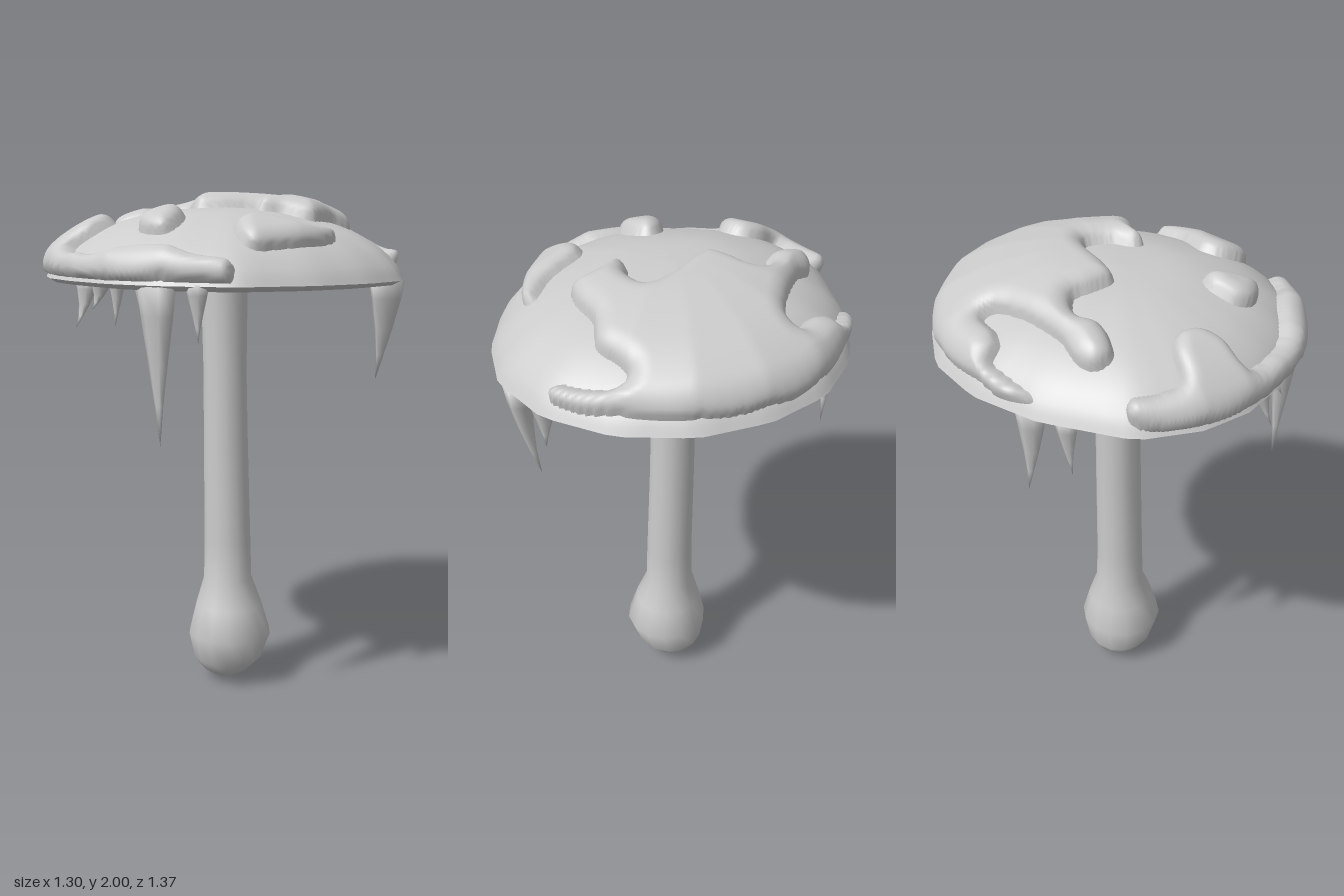
import * as THREE from 'three';
import { mergeVertices } from 'three/addons/utils/BufferGeometryUtils.js';

// Uneven rim of the cap, as (x, z) corners in order of angle
const RIM = [
  [0.65, -0.15], [0.65, 0.1], [0.57, 0.39], [0.38, 0.57], [0.17, 0.655], [-0.05, 0.67],
  [-0.25, 0.645], [-0.42, 0.565], [-0.58, 0.4], [-0.652, 0.07], [-0.635, -0.2], [-0.535, -0.43],
  [-0.35, -0.59], [-0.11, -0.685], [0.16, -0.685], [0.41, -0.58], [0.585, -0.38],
];
const TAU = Math.PI * 2;
const START = Math.atan2(RIM[0][1], RIM[0][0]);
const turn = (x, z) => (Math.atan2(z, x) - START + TAU * 2) % TAU;
const RIM_TURNS = RIM.map(([x, z], i) => (i ? turn(x, z) : 0));

// Distance from the axis to the straight rim edge lying in direction (x, z)
function rimRadius(x, z) {
  const angle = turn(x, z);
  let i = RIM.length - 1;
  while (i > 0 && RIM_TURNS[i] > angle) i--;
  const [ax, az] = RIM[i], [bx, bz] = RIM[(i + 1) % RIM.length];
  const c = Math.cos(angle + START), s = Math.sin(angle + START);
  return (ax * bz - az * bx) / (c * (bz - az) - s * (bx - ax));
}

// Linear lookup in a table of [key, value]; runs on past the last pair
function lookup(table, k) {
  let i = 1;
  while (i < table.length - 1 && table[i][0] < k) i++;
  const [k0, v0] = table[i - 1], [k1, v1] = table[i];
  return v0 + ((v1 - v0) * (k - k0)) / (k1 - k0);
}

// Dome profile: share of the rim radius against height
const curve = new THREE.SplineCurve([
  [0, 1.937], [0.3, 1.925], [0.5, 1.897], [0.7, 1.85], [0.85, 1.79], [0.95, 1.725], [1, 1.67],
].map(([s, y]) => new THREE.Vector2(s, y)));
const DOME = curve.getPoints(30).map((p) => [p.x, p.y]);
const TILT = -0.01;
const domeHeight = (x, z) => lookup(DOME, Math.hypot(x, z) / rimRadius(x, z)) + TILT * x;

function smooth(g) {
  g.deleteAttribute('uv');
  g.deleteAttribute('normal');
  g = mergeVertices(g, 1e-4);
  g.computeVertexNormals();
  return g;
}

// Turned shape, then reshaped vertex by vertex
function turned(profile, sides, reshape) {
  const g = new THREE.LatheGeometry(profile.map(([r, y]) => new THREE.Vector2(r, y)), sides);
  const p = g.attributes.position, v = new THREE.Vector3();
  for (let i = 0; i < p.count; i++) {
    reshape(v.fromBufferAttribute(p, i));
    p.setXYZ(i, v.x, v.y, v.z);
  }
  return smooth(g);
}

function toRim(v) {
  const r = rimRadius(v.x, v.z);
  v.x *= r;
  v.z *= r;
  v.y += TILT * v.x;
}

// Signed distance to a closed outline, positive inside
function insideDistance(poly, x, z) {
  let best = Infinity, inside = false;
  for (let i = 0, j = poly.length - 1; i < poly.length; j = i++) {
    const a = poly[j], b = poly[i], dx = b.x - a.x, dz = b.y - a.y;
    const t = THREE.MathUtils.clamp(((x - a.x) * dx + (z - a.y) * dz) / (dx * dx + dz * dz || 1), 0, 1);
    best = Math.min(best, Math.hypot(x - a.x - t * dx, z - a.y - t * dz));
    if (a.y > z !== b.y > z && x < a.x + (dx * (z - a.y)) / dz) inside = !inside;
  }
  return inside ? best : -best;
}

// Puffy layer lying on the dome; its edge dips just under the dome surface
function snowPatch(outline, thick, round) {
  const loop = new THREE.CatmullRomCurve3(
    outline.map(([x, z]) => new THREE.Vector3(x, 0, z)), true, 'centripetal');
  const poly = loop.getPoints(outline.length * 4).slice(0, -1).map((p) => new THREE.Vector2(p.x, p.z));
  const box = new THREE.Box2().setFromPoints(poly).expandByScalar(0.04);
  const step = 0.01, e = 0.02;
  const nx = Math.ceil((box.max.x - box.min.x) / step), nz = Math.ceil((box.max.y - box.min.y) / step);
  const pos = [], dist = [], index = [], n = new THREE.Vector3();
  for (let j = 0; j <= nz; j++) {
    for (let i = 0; i <= nx; i++) {
      let x = box.min.x + i * step, z = box.min.y + j * step;
      const d = insideDistance(poly, x, z);
      const k = Math.min(1, (0.99 * rimRadius(x, z)) / Math.max(Math.hypot(x, z), 1e-6));
      x *= k;
      z *= k;
      n.set(domeHeight(x - e, z) - domeHeight(x + e, z), 2 * e, domeHeight(x, z - e) - domeHeight(x, z + e)).normalize();
      const u = 1 - Math.min(d / round, 1);
      const f = d > 0 ? thick * Math.sqrt(1 - u * u) : Math.max(d * 1.5, -0.03);
      pos.push(x + n.x * f, domeHeight(x, z) + n.y * f, z + n.z * f);
      dist.push(d);
    }
  }
  for (let j = 0; j < nz; j++) {
    for (let i = 0; i < nx; i++) {
      const a = j * (nx + 1) + i, b = a + nx + 1;
      if (Math.max(dist[a], dist[b], dist[a + 1], dist[b + 1]) < -0.012) continue;
      index.push(a, b, a + 1, a + 1, b, b + 1);
    }
  }
  const g = new THREE.BufferGeometry();
  g.setAttribute('position', new THREE.Float32BufferAttribute(pos, 3));
  g.setIndex(index);
  g.computeVertexNormals();
  return g;
}

export function createModel() {
  const model = new THREE.Group();
  const grey = new THREE.MeshStandardMaterial({ color: 0xcccccc });
  grey.name = 'plain grey';
  const add = (name, geometry) => {
    const mesh = new THREE.Mesh(geometry, grey);
    mesh.name = name;
    model.add(mesh);
  };

  // Stem with a bulb, leaning slightly: radius, height, sideways shift
  const stem = [
    [0, 0, 0], [0.05, 0.015, 0], [0.1, 0.05, 0.005], [0.14, 0.1, 0.015], [0.17, 0.21, 0.028], [0.137, 0.33, 0.022],
    [0.1, 0.44, 0.015], [0.096, 0.6, 0.014], [0.091, 1, 0.003], [0.088, 1.3, -0.003], [0.096, 1.73, -0.008],
  ];
  const shift = stem.map(([, y, dx]) => [y, dx]);
  add('stem', turned(stem, 14, (v) => { v.x += lookup(shift, v.y); }));

  // Cap: dome, and an underside that rounds below the rim and rises at the stem
  add('capDome', turned([...DOME].reverse(), 68, toRim));
  add('capUnderside', turned([
    [0, 1.715], [0.15, 1.705], [0.3, 1.68], [0.5, 1.662], [0.7, 1.653], [0.88, 1.648], [0.96, 1.654], [1, 1.67],
  ], 68, toRim));

  // Snow lying on the cap: outlines in plan, thickness, edge rounding
  add('topSnow', snowPatch([
    [-0.618, 0.04], [-0.63, -0.05], [-0.6, -0.2], [-0.5, -0.42], [-0.33, -0.565], [-0.1, -0.65], [0.05, -0.655],
    [0.2, -0.635], [0.3, -0.6], [0.38, -0.553], [0.365, -0.528], [0.26, -0.562], [0.15, -0.58], [0.12, -0.55],
    [0.15, -0.51], [0.23, -0.44], [0.25, -0.33], [0.32, -0.22], [0.34, -0.14], [0.25, -0.07], [0.2, -0.01],
    [0.165, -0.03], [0.15, -0.11], [0.08, -0.18], [0.02, -0.14], [-0.07, 0], [-0.12, 0.05], [-0.2, 0.02],
    [-0.27, -0.02], [-0.34, 0.04], [-0.34, 0.13], [-0.43, 0.23], [-0.485, 0.2], [-0.49, 0.13], [-0.44, 0.03],
    [-0.39, -0.26], [-0.42, -0.29], [-0.47, -0.2], [-0.52, -0.16], [-0.56, -0.16], [-0.58, -0.1],
  ], 0.068, 0.08));
  add('frontSnow', snowPatch([
    [-0.56, 0.37], [-0.53, 0.34], [-0.45, 0.41], [-0.38, 0.45], [-0.32, 0.39], [-0.25, 0.36], [-0.18, 0.4],
    [-0.16, 0.48], [-0.18, 0.57], [-0.05, 0.605], [0.1, 0.59], [0.25, 0.515], [0.4, 0.45], [0.52, 0.37],
    [0.545, 0.4], [0.49, 0.46], [0.37, 0.56], [0.17, 0.65], [-0.05, 0.665], [-0.25, 0.635], [-0.41, 0.56],
    [-0.52, 0.45],
  ], 0.055, 0.05));
  add('smallSnow', snowPatch([
    [0.06, 0.33], [0.1, 0.285], [0.16, 0.31], [0.22, 0.39], [0.22, 0.44], [0.12, 0.47], [0.06, 0.43],
  ], 0.056, 0.06));
  add('sideSnow', snowPatch([
    [0.485, -0.1], [0.515, -0.1], [0.54, 0.05], [0.525, 0.18], [0.5, 0.27], [0.45, 0.285], [0.36, 0.235],
    [0.345, 0.16], [0.4, 0.08], [0.445, 0.02], [0.47, -0.06],
  ], 0.053, 0.06));

  // Icicles under the rim: root x, z, half widths in x and z, then tip x, y, z
  const icicles = [
    [-0.58, 0, 0.05, 0.06, -0.57, 1.3, -0.035],
    [-0.58, 0.14, 0.04, 0.045, -0.575, 1.44, 0.155],
    [-0.05, 0.6, 0.05, 0.04, -0.05, 1.5, 0.65],
    [0.05, 0.6, 0.04, 0.04, 0.05, 1.57, 0.64],
    [0.315, 0.54, 0.085, 0.06, 0.31, 1.1, 0.53],
    [0.44, 0.46, 0.045, 0.04, 0.45, 1.47, 0.465],
    [0.42, -0.46, 0.055, 0.05, 0.42, 1.46, -0.465],
    [0.515, -0.375, 0.055, 0.08, 0.46, 1.28, -0.38],
  ];
  for (const [x, z, wx, wz, tx, ty, tz] of icicles) {
    add('icicle', turned([[0, 0], [0.22, 0.25], [0.5, 0.5], [0.85, 0.8], [1, 0.97], [0, 1]], 7, (v) => {
      const drop = (1 - v.y) ** 2;
      v.set(x + v.x * wx + (tx - x) * drop, ty + v.y * (1.675 - ty), z + v.z * wz + (tz - z) * drop);
    }));
  }
  return model;
}
